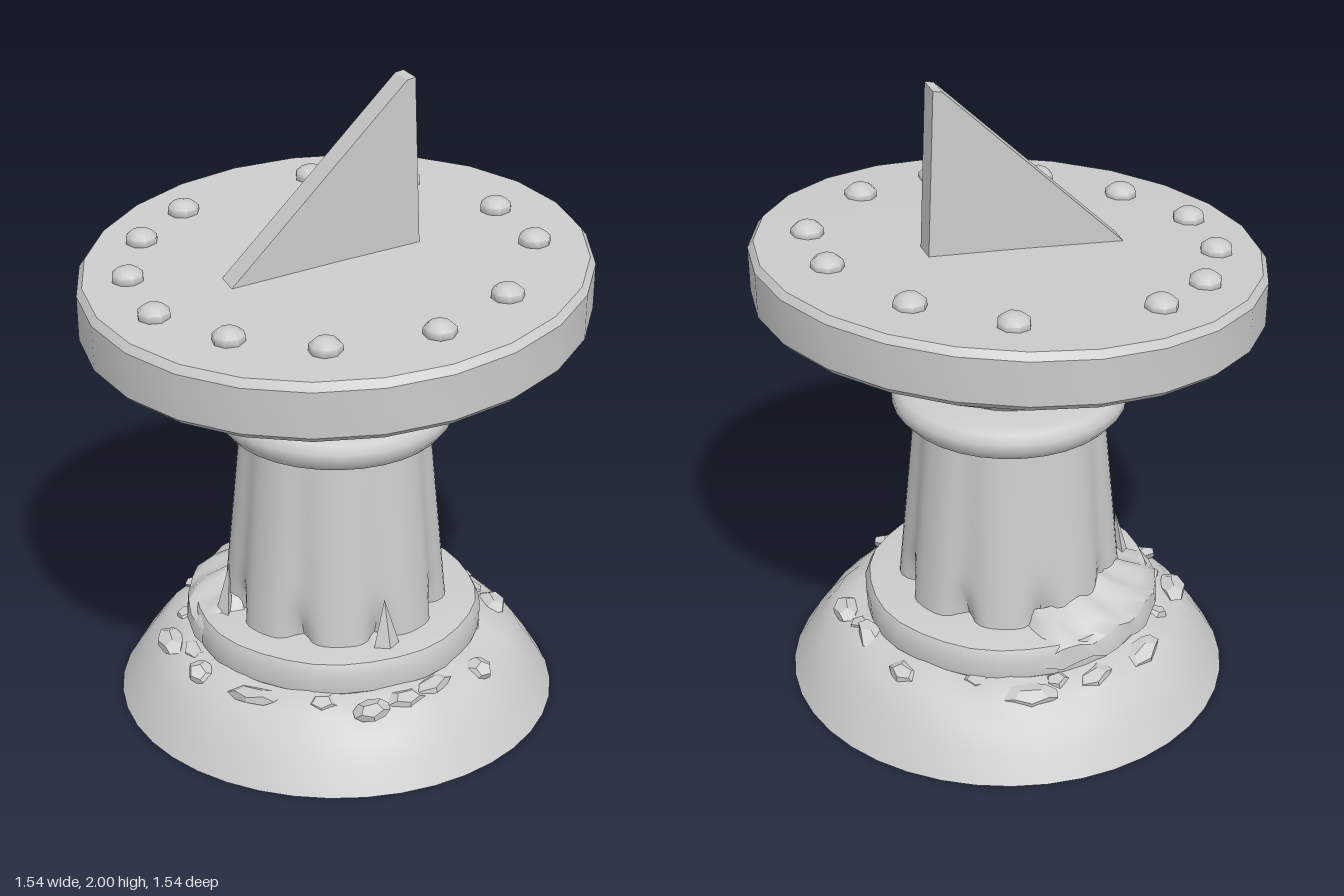
import * as THREE from 'three';
import { toCreasedNormals } from 'three/addons/utils/BufferGeometryUtils.js';

const stone = new THREE.MeshStandardMaterial({ color: 0xcccccc });
const thinStone = new THREE.MeshStandardMaterial({ color: 0xcccccc, side: THREE.DoubleSide });

// Height of the tilted dial plane above its centre
const tilt = (x, z) => 0.07 * x - 0.045 * z;

// Move every vertex by a rule
function deform(geo, rule) {
  const p = geo.attributes.position, v = new THREE.Vector3();
  for (let i = 0; i < p.count; i++) {
    v.fromBufferAttribute(p, i);
    rule(v, Math.atan2(v.x, v.z));
    p.setXYZ(i, v.x, v.y, v.z);
  }
  geo.computeVertexNormals();
  return geo;
}

function scaleRadius(v, k) {
  v.x *= k;
  v.z *= k;
}

function lathe(points, segments, start = 0, length = Math.PI * 2) {
  return new THREE.LatheGeometry(points.map(([r, y]) => new THREE.Vector2(r, y)), segments, start, length);
}

export function createModel() {
  const model = new THREE.Group();
  function add(name, geo, crease = 0.7, material = stone) {
    const mesh = new THREE.Mesh(crease ? toCreasedNormals(geo, crease) : geo, material);
    mesh.name = name;
    model.add(mesh);
    return mesh;
  }

  // Earth mound with a worn upper lip
  const mound = lathe([[0, 0], [0.69, 0], [0.645, 0.075], [0.6, 0.14], [0.545, 0.195], [0.48, 0.225], [0, 0.225]], 40);
  deform(mound, (v, a) => {
    if (v.y > 0.18) {
      const n = Math.sin(7 * a) + 0.7 * Math.sin(13 * a + 1);
      scaleRadius(v, 1 + 0.012 * n);
      v.y += 0.006 * Math.sin(11 * a + 2);
    }
  });
  add('mound', mound).position.set(0.01, 0, -0.01);

  // Chipped plinth ring
  const plinth = lathe([[0, 0.2], [0.43, 0.2], [0.455, 0.225], [0.46, 0.29], [0.445, 0.32], [0.42, 0.325], [0, 0.325]], 32);
  deform(plinth, (v, a) => scaleRadius(v, 1 + 0.012 * Math.sin(5 * a + 1) * Math.sin(3 * a)));
  add('plinth', plinth).position.set(0.005, 0, -0.005);

  // Fluted column: eight grooves, opening into deep notches at the foot
  const rows = [];
  for (let i = 0; i <= 12; i++) rows.push([0.35 - 0.058 * i / 12, 0.315 + 0.615 * i / 12]);
  const column = lathe(rows, 96);
  deform(column, (v, a) => {
    const t = (v.y - 0.315) / 0.615;
    const c = (1 + Math.cos(8 * a)) / 2;
    const notch = Math.max(0, 1 - t * 5);
    scaleRadius(v, 1 - (0.07 - 0.035 * t) * c ** 2 - 0.13 * notch * c ** 6);
  });
  add('column', column, 1);

  // Collar under the dial
  add('collar', lathe([[0.27, 0.9], [0.305, 0.91], [0.335, 0.925], [0.36, 0.955], [0.362, 0.985],
    [0.345, 1.01], [0.31, 1.02], [0, 1.02]], 32), 0.8);

  // Dial bowl, sheared so that its face tilts
  const dial = lathe([[0.2, 1.0], [0.22, 1.025], [0.75, 1.28], [0.77, 1.3], [0.772, 1.44], [0.755, 1.463], [0, 1.468]], 24);
  deform(dial, v => {
    v.y += tilt(v.x, v.z) * THREE.MathUtils.clamp((v.y - 1.02) / 0.26, 0, 1);
  });
  add('dial', dial, 0.6);

  // Gnomon: triangular blade
  const blade = new THREE.Shape();
  blade.moveTo(-0.39, 1.4);
  blade.lineTo(0.265, 1.44);
  blade.lineTo(0.262, 1.5);
  blade.lineTo(0.242, 2);
  blade.lineTo(0.215, 1.995);
  const gnomon = new THREE.ExtrudeGeometry(blade, { depth: 0.08, bevelEnabled: false });
  gnomon.translate(0, 0, -0.043);
  add('gnomon', gnomon, 0);

  // Hour studs around the face
  const studs = [[0.18, -0.56], [0.42, -0.37], [0.57, -0.05], [0.56, 0.21], [0.32, 0.48], [0.05, 0.58],
    [-0.27, 0.51], [-0.48, 0.32], [-0.61, 0.08], [-0.59, -0.18], [-0.46, -0.4], [-0.27, -0.53]];
  studs.forEach(([x, z], i) => {
    const stud = add('hourStud', new THREE.SphereGeometry(0.052, 8, 5), 0.9);
    stud.scale.y = 0.65;
    stud.rotation.y = i * 0.7;
    stud.position.set(x, 1.472 + tilt(x, z), z);
  });

  // Earth drift piled against the back of the column, fading at both ends
  const start = 2.95, span = 1.75;
  const drift = lathe([[0.475, 0.25], [0.47, 0.32], [0.43, 0.355], [0.37, 0.385], [0.32, 0.41]], 16, start, span);
  deform(drift, (v, a) => {
    const t = ((a + Math.PI * 2) % (Math.PI * 2) - start) / span;
    const fade = Math.sqrt(Math.max(0, Math.sin(Math.PI * t)));
    v.y = 0.25 + (v.y - 0.25) * (0.45 + 0.5 * fade) + 0.012 * Math.sin(a * 17 + v.y * 30);
    scaleRadius(v, 0.96 + 0.04 * fade);
  });
  add('earthDrift', drift, 0.8, thinStone);

  // Rubble flakes lying around the plinth
  for (let i = 0; i < 20; i++) {
    const a = i * Math.PI / 10 + 0.12 * Math.sin(i * 5);
    const r = 0.495 + 0.035 * Math.sin(i * 3.7);
    const flake = add('rubble', new THREE.DodecahedronGeometry(0.06), 0.5);
    flake.scale.set(1.1 + 0.4 * Math.sin(i * 2.3), 0.4, 0.75);
    flake.rotation.set(0.25 * Math.sin(i * 4), a, 0.25 * Math.sin(i * 7));
    flake.position.set(r * Math.sin(a), 0.207, r * Math.cos(a));
  }

  // Stone shards leaning on the column
  for (const [x, z, h] of [[0, 0.36, 0.16], [-0.355, -0.04, 0.17]]) {
    const shard = new THREE.Group();
    shard.name = 'shard';
    const mesh = new THREE.Mesh(new THREE.ConeGeometry(0.045, h, 4).toNonIndexed(), stone);
    mesh.geometry.computeVertexNormals();
    mesh.name = 'shardStone';
    mesh.scale.z = 0.6;
    mesh.position.y = h / 2;
    mesh.rotation.x = -0.12;
    shard.add(mesh);
    shard.rotation.y = Math.atan2(x, z);
    shard.position.set(x, 0.315, z);
    model.add(shard);
  }
  return model;
}
